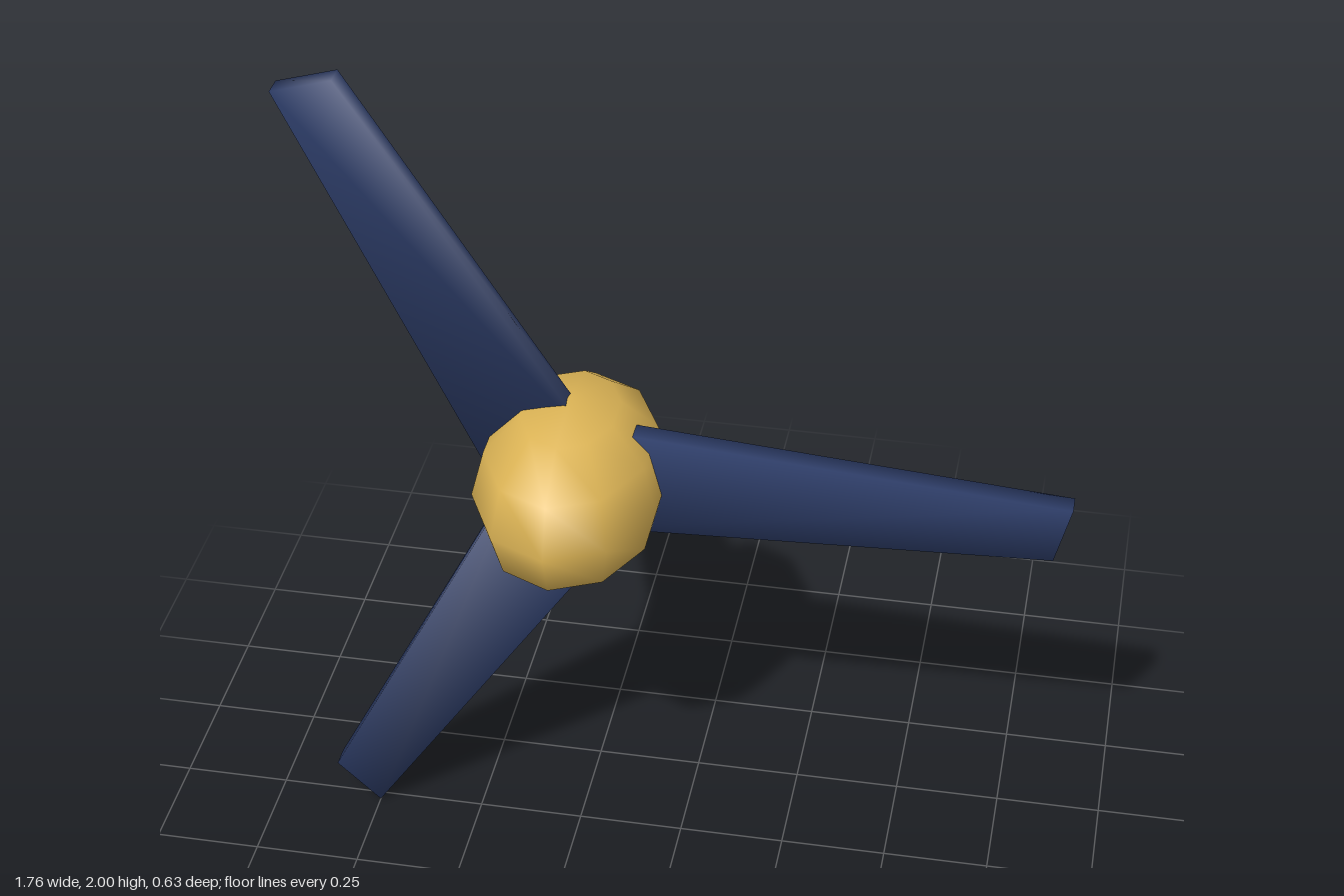
import * as THREE from 'three';

const gold = new THREE.MeshStandardMaterial({ name: 'gold', color: 0xdbb355 });
const navy = new THREE.MeshStandardMaterial({ name: 'navy', color: 0x2e3e6a });

// Tapered flat blade along +x, shaded softly round its edges
function bladeGeometry() {
  const g = new THREE.BoxGeometry(1, 1, 1);
  const p = g.attributes.position, n = g.attributes.normal;
  const v = new THREE.Vector3();
  for (let i = 0; i < p.count; i++) {
    v.fromBufferAttribute(p, i);
    const tip = v.x > 0, top = v.y > 0;
    const x = tip ? (top ? 1.13 : 1.095) : 0.05;
    const y = tip ? (top ? 0.075 : -0.065) : (top ? 0.158 : -0.111);
    p.setXYZ(i, x, y, v.z * 0.05);
    v.normalize(); // averaged corner normal
    n.setXYZ(i, v.x, v.y, v.z);
  }
  return g;
}

export function createModel() {
  const propeller = new THREE.Group();
  propeller.name = 'propeller';

  // Egg-shaped hub, ten-sided round the vertical axis
  const hubGeometry = new THREE.SphereGeometry(1, 10, 6, Math.PI / 2);
  hubGeometry.scale(0.222, 0.222, 0.317);
  const hub = new THREE.Mesh(hubGeometry, gold);
  hub.name = 'hub';
  propeller.add(hub);

  // Three blades, evenly spaced
  const geometry = bladeGeometry();
  ['sideBlade', 'upperBlade', 'lowerBlade'].forEach((name, i) => {
    const blade = new THREE.Mesh(geometry, navy);
    blade.name = name;
    blade.rotation.z = i * Math.PI * 2 / 3;
    propeller.add(blade);
  });

  propeller.position.set(-0.25, 1.02, 0);
  const model = new THREE.Group();
  model.add(propeller);
  return model;
}
